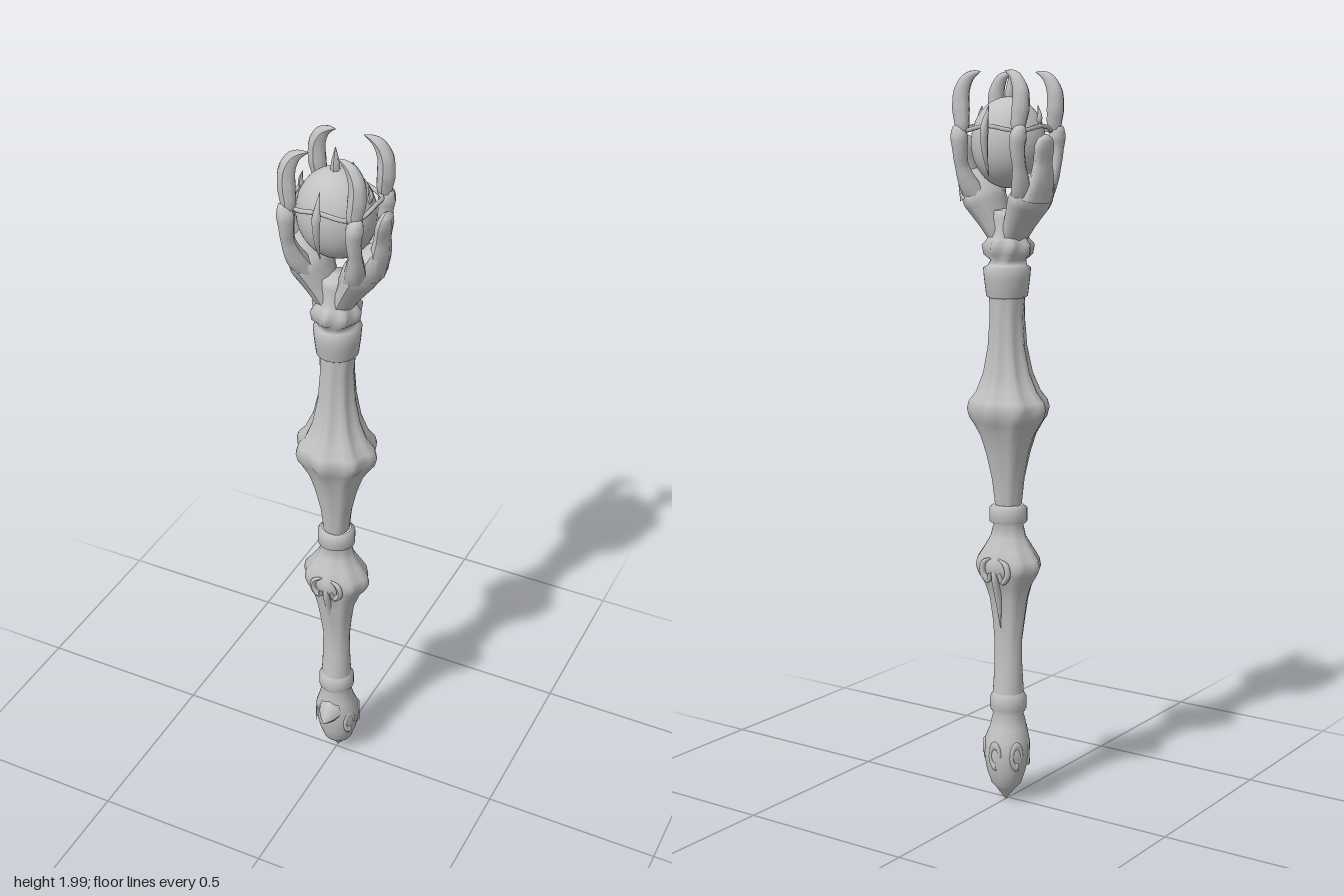
import * as THREE from 'three';

const stone = new THREE.MeshStandardMaterial({ color: 0xc2c2c2 });
stone.name = 'light grey stone';

function add(group, name, geometry) {
  const mesh = new THREE.Mesh(geometry, stone);
  mesh.name = name;
  group.add(mesh);
  return mesh;
}

// Lofted section from rows of [y, half width, half depth, z offset, fluting]
function loft(rows, sides = 32) {
  const pos = [], index = [];
  rows.forEach(([y, rx, rz, cz = 0, flute = 0], i) => {
    for (let j = 0; j < sides; j++) {
      const a = (j / sides) * Math.PI * 2;
      const k = 1 - flute * (0.5 - 0.5 * Math.cos(a * 8));
      pos.push(Math.sin(a) * rx * k, y, cz + Math.cos(a) * rz * k);
      if (i === 0) continue;
      const n = (j + 1) % sides, lo = (i - 1) * sides, hi = i * sides;
      index.push(lo + j, lo + n, hi + n, lo + j, hi + n, hi + j);
    }
  });
  const g = new THREE.BufferGeometry();
  g.setAttribute('position', new THREE.Float32BufferAttribute(pos, 3));
  g.setIndex(index);
  g.computeVertexNormals();
  return g;
}

// Tapered tube through points [x, y, z, radius], optionally stretched across x and z
function horn(points, sx = 1, sz = 1, sides = 8) {
  const curve = new THREE.CatmullRomCurve3(points.map(p => new THREE.Vector3(p[0], p[1], p[2])));
  const steps = (points.length - 1) * 4;
  const g = new THREE.TubeGeometry(curve, steps, 1, sides);
  const pos = g.attributes.position, v = new THREE.Vector3();
  for (let i = 0; i <= steps; i++) {
    const u = i / steps, c = curve.getPointAt(u);
    const t = curve.getUtoTmapping(u) * (points.length - 1);
    const k = Math.min(Math.floor(t), points.length - 2);
    const r = THREE.MathUtils.lerp(points[k][3], points[k + 1][3], t - k);
    for (let j = 0; j <= sides; j++) {
      const n = i * (sides + 1) + j;
      v.fromBufferAttribute(pos, n).sub(c).multiplyScalar(r);
      pos.setXYZ(n, c.x + v.x * sx, c.y + v.y, c.z + v.z * sz);
    }
  }
  g.computeVertexNormals();
  return g;
}

export function createModel() {
  const group = new THREE.Group();

  // Pommel with pointed tip and a forward beak
  add(group, 'pommel', loft([
    [0.01, 0.001, 0.001, -0.012], [0.045, 0.028, 0.024, -0.012], [0.06, 0.042, 0.04, -0.01],
    [0.1, 0.055, 0.053, -0.01], [0.15, 0.065, 0.061, -0.008], [0.19, 0.062, 0.058, -0.005],
    [0.22, 0.052, 0.049], [0.26, 0.043, 0.04], [0.275, 0.051, 0.05], [0.305, 0.051, 0.05], [0.32, 0.042, 0.042],
  ]));
  add(group, 'pommelBeak', horn([
    [0, 0.205, 0.01, 0.042], [0, 0.19, 0.045, 0.036], [0, 0.18, 0.07, 0.018], [0, 0.175, 0.086, 0.001],
  ]));

  // Lower grip with its fluted knot and band
  add(group, 'lowerGrip', loft([
    [0.32, 0.043, 0.042], [0.4, 0.04, 0.034], [0.47, 0.041, 0.034, 0, 0.04], [0.53, 0.048, 0.041, 0.003, 0.06],
    [0.59, 0.057, 0.05, 0.004, 0.08], [0.63, 0.072, 0.058, 0.002, 0.1], [0.66, 0.092, 0.071, 0, 0.1],
    [0.68, 0.101, 0.075, 0, 0.1], [0.7, 0.096, 0.073, 0, 0.1], [0.73, 0.073, 0.06, 0, 0.08],
    [0.76, 0.053, 0.043, 0, 0.05], [0.795, 0.042, 0.036], [0.803, 0.052, 0.05], [0.84, 0.052, 0.05], [0.85, 0.04, 0.038],
  ]));

  // Upper shaft swelling into a ridged knob
  add(group, 'upperShaft', loft([
    [0.85, 0.036, 0.037], [0.92, 0.045, 0.045, 0, 0.06], [0.99, 0.061, 0.06, 0, 0.08],
    [1.04, 0.078, 0.074, 0, 0.1], [1.075, 0.1, 0.09, 0, 0.13], [1.09, 0.112, 0.099, 0, 0.14],
    [1.115, 0.119, 0.105, 0, 0.14], [1.135, 0.113, 0.1, 0, 0.14], [1.16, 0.092, 0.083, 0, 0.17],
    [1.21, 0.069, 0.066, -0.002, 0.18], [1.28, 0.053, 0.055, -0.004, 0.14], [1.36, 0.046, 0.05, -0.005, 0.08],
    [1.42, 0.047, 0.051, -0.006],
  ]));

  // Collar below the claw hand
  add(group, 'collar', loft([
    [1.41, 0.046, 0.05, -0.006], [1.415, 0.055, 0.056, -0.006], [1.46, 0.06, 0.063, -0.006],
    [1.49, 0.062, 0.067, -0.006], [1.497, 0.05, 0.055, -0.004], [1.51, 0.046, 0.05],
    [1.525, 0.066, 0.068, 0, 0.12], [1.55, 0.07, 0.074, 0, 0.2], [1.565, 0.056, 0.06, 0, 0.12],
    [1.585, 0.045, 0.046], [1.62, 0.05, 0.046], [1.64, 0.04, 0.042], [1.645, 0.001, 0.001],
  ]));

  // Carved loops on the pommel
  for (let i = 1; i < 6; i++) {
    const a = (i / 6) * Math.PI * 2;
    const curl = add(group, 'pommelCurl', new THREE.TorusGeometry(0.015, 0.006, 6, 14, Math.PI * 1.6));
    curl.position.set(Math.sin(a) * 0.06, 0.15, Math.cos(a) * 0.057 - 0.008);
    curl.scale.y = 2;
    curl.rotation.set(0, a, 0);
  }

  // Carved relief on the lower knot
  for (const s of [-1, 1]) {
    for (const x of [-1, 1]) {
      add(group, 'knotCurl', horn([
        [x * 0.012, 0.71, s * 0.066, 0.002], [x * 0.036, 0.695, s * 0.066, 0.008], [x * 0.04, 0.665, s * 0.064, 0.009],
        [x * 0.022, 0.645, s * 0.062, 0.008], [x * 0.014, 0.67, s * 0.068, 0.005],
      ]));
    }
    add(group, 'knotDrop', horn([
      [0, 0.7, s * 0.064, 0.002], [0, 0.66, s * 0.066, 0.01], [0, 0.6, s * 0.049, 0.01], [0, 0.51, s * 0.038, 0.001],
    ]));
  }

  // Orb with its top spike and small studs
  const orb = add(group, 'orb', new THREE.SphereGeometry(1, 40, 28));
  orb.scale.set(0.103, 0.118, 0.087);
  orb.position.y = 1.815;
  add(group, 'topSpike', horn([[0, 1.92, 0.006, 0.012], [0, 1.95, 0.006, 0.011], [0, 1.99, 0.006, 0.001]], 1, 1, 6));

  // Thin hoop round the orb, bowed out at the corners
  const hoopPoints = [];
  for (let i = 0; i < 24; i++) {
    const a = (i / 24) * Math.PI * 2, k = 1 + 0.1 * Math.sin(2 * a) ** 2;
    hoopPoints.push(new THREE.Vector3(Math.cos(a) * 0.104 * k, 1.846 + 0.012 * Math.cos(2 * a) ** 2, Math.sin(a) * 0.098 * k));
  }
  add(group, 'orbHoop', new THREE.TubeGeometry(new THREE.CatmullRomCurve3(hoopPoints, true), 48, 0.006, 6, true));

  for (const s of [-1, 1]) {
    add(group, 'sideStud', horn([[s * 0.085, 1.86, 0.006, 0.008], [s * 0.094, 1.88, 0.006, 0.007], [s * 0.088, 1.91, 0.006, 0.001]], 1, 1, 6));

    // Upright bars at front and back of the hoop
    add(group, 'hoopBar', horn([
      [0, 1.73, s * 0.09, 0.001], [0, 1.79, s * 0.107, 0.009], [0, 1.85, s * 0.11, 0.014], [0, 1.91, s * 0.09, 0.001],
    ], 0.85, 1, 6));

    // Forked palm and the side fingers
    add(group, 'forkArm', horn([
      [s * 0.015, 1.56, 0, 0.028], [s * 0.04, 1.61, -0.002, 0.037], [s * 0.07, 1.665, -0.004, 0.05],
      [s * 0.092, 1.7, -0.006, 0.043], [s * 0.108, 1.735, -0.008, 0.026], [s * 0.112, 1.76, -0.008, 0.001],
    ], 1, 1.55, 10));
    add(group, 'sideFinger', horn([
      [s * 0.095, 1.67, -0.01, 0.032], [s * 0.112, 1.72, -0.012, 0.024], [s * 0.117, 1.765, -0.014, 0.018],
      [s * 0.122, 1.805, -0.015, 0.019], [s * 0.126, 1.828, -0.015, 0.014], [s * 0.126, 1.838, -0.015, 0.001],
    ], 1, 2));

    // Four claws with knuckles, hooking in over the orb
    for (const t of [-1, 1]) {
      add(group, 'clawRoot', horn([
        [s * 0.06, 1.65, t * 0.03, 0.03], [s * 0.08, 1.7, t * 0.06, 0.027], [s * 0.09, 1.755, t * 0.083, 0.018],
        [s * 0.09, 1.8, t * 0.092, 0.02], [s * 0.092, 1.83, t * 0.092, 0.024], [s * 0.098, 1.855, t * 0.089, 0.016],
        [s * 0.1, 1.866, t * 0.088, 0.001],
      ]));
      add(group, 'clawTip', horn([
        [s * 0.092, 1.825, t * 0.088, 0.012], [s * 0.088, 1.86, t * 0.085, 0.021], [s * 0.093, 1.9, t * 0.082, 0.025],
        [s * 0.092, 1.945, t * 0.08, 0.023], [s * 0.076, 1.978, t * 0.077, 0.017], [s * 0.056, 1.991, t * 0.074, 0.009],
        [s * 0.038, 1.996, t * 0.072, 0.001],
      ], 1, 0.85));
    }
  }
  return group;
}
